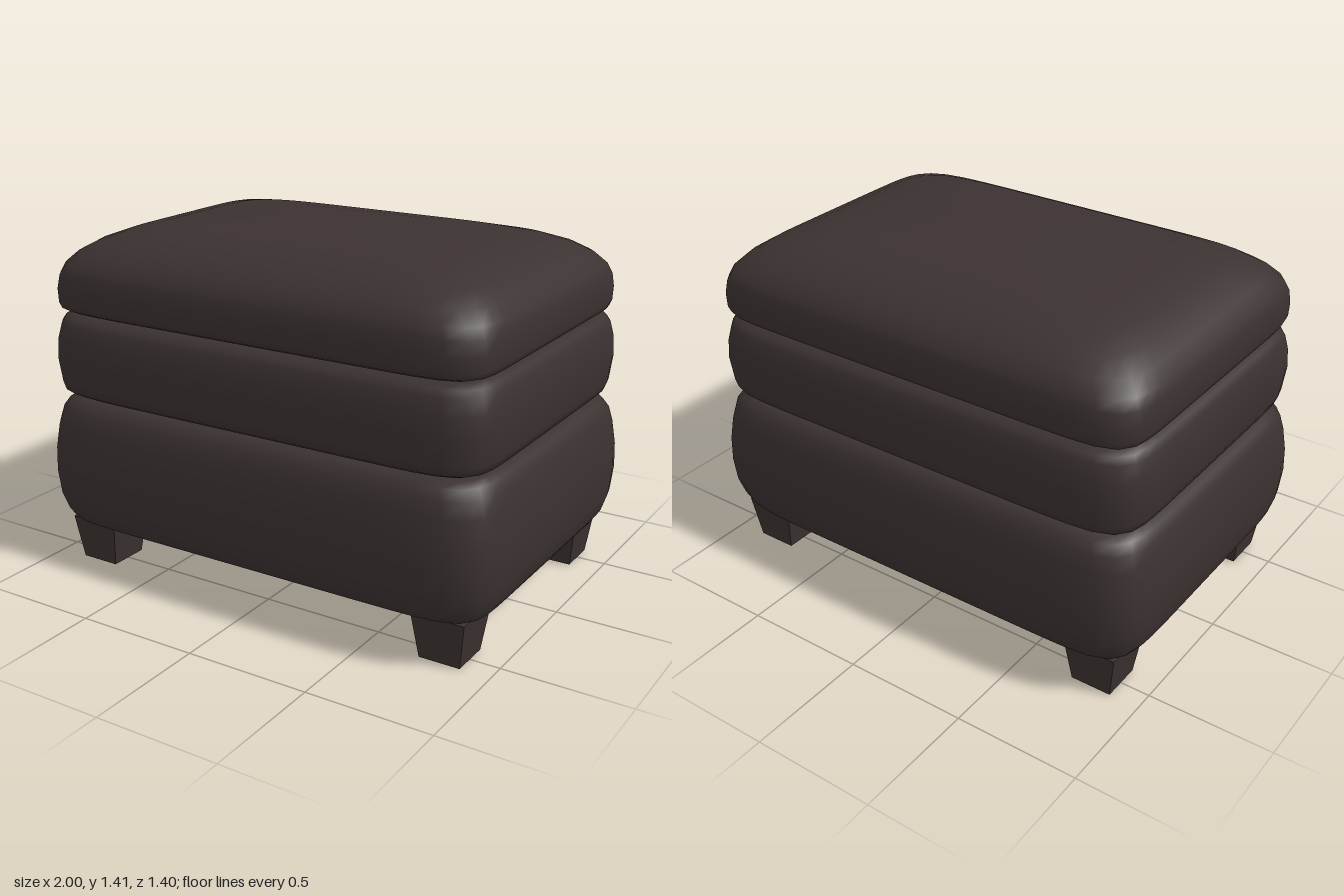
import * as THREE from 'three';

const SEGMENTS = 96;

// Closed, smooth loft of rounded rectangles; each row is [y, half width, half depth, squareness]
function loft(rows) {
  const pos = [], idx = [];
  for (const [y, a, b, n] of rows) {
    for (let i = 0; i < SEGMENTS; i++) {
      const t = (i / SEGMENTS) * Math.PI * 2;
      const c = Math.cos(t), s = Math.sin(t);
      const r = 1 / Math.pow(Math.abs(c) ** n + Math.abs(s) ** n, 1 / n);
      pos.push(a * r * c, y, b * r * s);
    }
  }
  for (let j = 0; j < rows.length - 1; j++) {
    for (let i = 0; i < SEGMENTS; i++) {
      const k = (i + 1) % SEGMENTS;
      const p = j * SEGMENTS + i, q = j * SEGMENTS + k;
      idx.push(p, p + SEGMENTS, q, q, p + SEGMENTS, q + SEGMENTS);
    }
  }
  // centre points close the bottom and the top
  const bottom = pos.length / 3, top = bottom + 1, last = (rows.length - 1) * SEGMENTS;
  pos.push(0, rows[0][0], 0, 0, rows[rows.length - 1][0], 0);
  for (let i = 0; i < SEGMENTS; i++) {
    const k = (i + 1) % SEGMENTS;
    idx.push(bottom, i, k, top, last + k, last + i);
  }
  const geo = new THREE.BufferGeometry();
  geo.setAttribute('position', new THREE.Float32BufferAttribute(pos, 3));
  geo.setIndex(idx);
  geo.computeVertexNormals();
  return geo;
}

export function createModel() {
  const leather = new THREE.MeshStandardMaterial({ color: 0x3b3231 });
  leather.name = 'dark brown leather';
  const lining = new THREE.MeshStandardMaterial({ color: 0x523d30 });
  lining.name = 'brown lining';

  const model = new THREE.Group();
  model.name = 'footstool';
  const add = (name, geometry, material) => {
    const mesh = new THREE.Mesh(geometry, material);
    mesh.name = name;
    model.add(mesh);
    return mesh;
  };

  // Deep bottom section with bulging sides
  add('base', loft([
    [0.18, 0.88, 0.59, 12], [0.18, 0.92, 0.62, 12], [0.195, 0.945, 0.65, 11],
    [0.23, 0.97, 0.672, 10], [0.3, 0.99, 0.692, 10], [0.4, 1.0, 0.7, 10],
    [0.5, 0.997, 0.698, 10], [0.6, 0.982, 0.688, 10], [0.66, 0.967, 0.675, 10],
    [0.695, 0.945, 0.655, 10], [0.712, 0.915, 0.63, 11], [0.72, 0.87, 0.59, 12],
  ]), leather);

  // Middle section
  add('middleCushion', loft([
    [0.72, 0.87, 0.59, 12], [0.728, 0.915, 0.63, 11], [0.745, 0.945, 0.658, 11],
    [0.78, 0.96, 0.67, 10], [0.88, 0.971, 0.68, 10], [0.96, 0.966, 0.676, 10],
    [1.02, 0.952, 0.665, 10], [1.045, 0.935, 0.648, 11], [1.058, 0.905, 0.62, 11],
    [1.064, 0.87, 0.59, 12],
  ]), leather);

  // Domed seat cushion
  add('seatCushion', loft([
    [1.064, 0.87, 0.59, 12], [1.07, 0.91, 0.63, 12], [1.082, 0.937, 0.652, 12],
    [1.105, 0.946, 0.659, 12], [1.16, 0.949, 0.66, 12], [1.215, 0.945, 0.656, 11],
    [1.255, 0.93, 0.645, 10], [1.3, 0.89, 0.61, 9], [1.34, 0.83, 0.555, 8],
    [1.372, 0.75, 0.48, 7], [1.392, 0.65, 0.4, 6], [1.403, 0.5, 0.3, 5],
    [1.409, 0.3, 0.17, 4], [1.411, 0.12, 0.07, 4],
  ]), leather);

  // Thin panel under the base
  add('undersidePanel', loft([
    [0.175, 0.9, 0.605, 12], [0.182, 0.9, 0.605, 12],
  ]), lining);

  // Four tapered square legs
  const legGeo = new THREE.CylinderGeometry(0.215 / Math.SQRT2, 0.165 / Math.SQRT2, 0.185, 4)
    .rotateY(Math.PI / 4).toNonIndexed();
  legGeo.computeVertexNormals();
  for (const x of [-1, 1]) {
    for (const z of [-1, 1]) {
      const name = (z > 0 ? 'front' : 'back') + (x > 0 ? 'Left' : 'Right') + 'Leg';
      add(name, legGeo, leather).position.set(x * 0.797, 0.0925, z * 0.498);
    }
  }
  return model;
}
